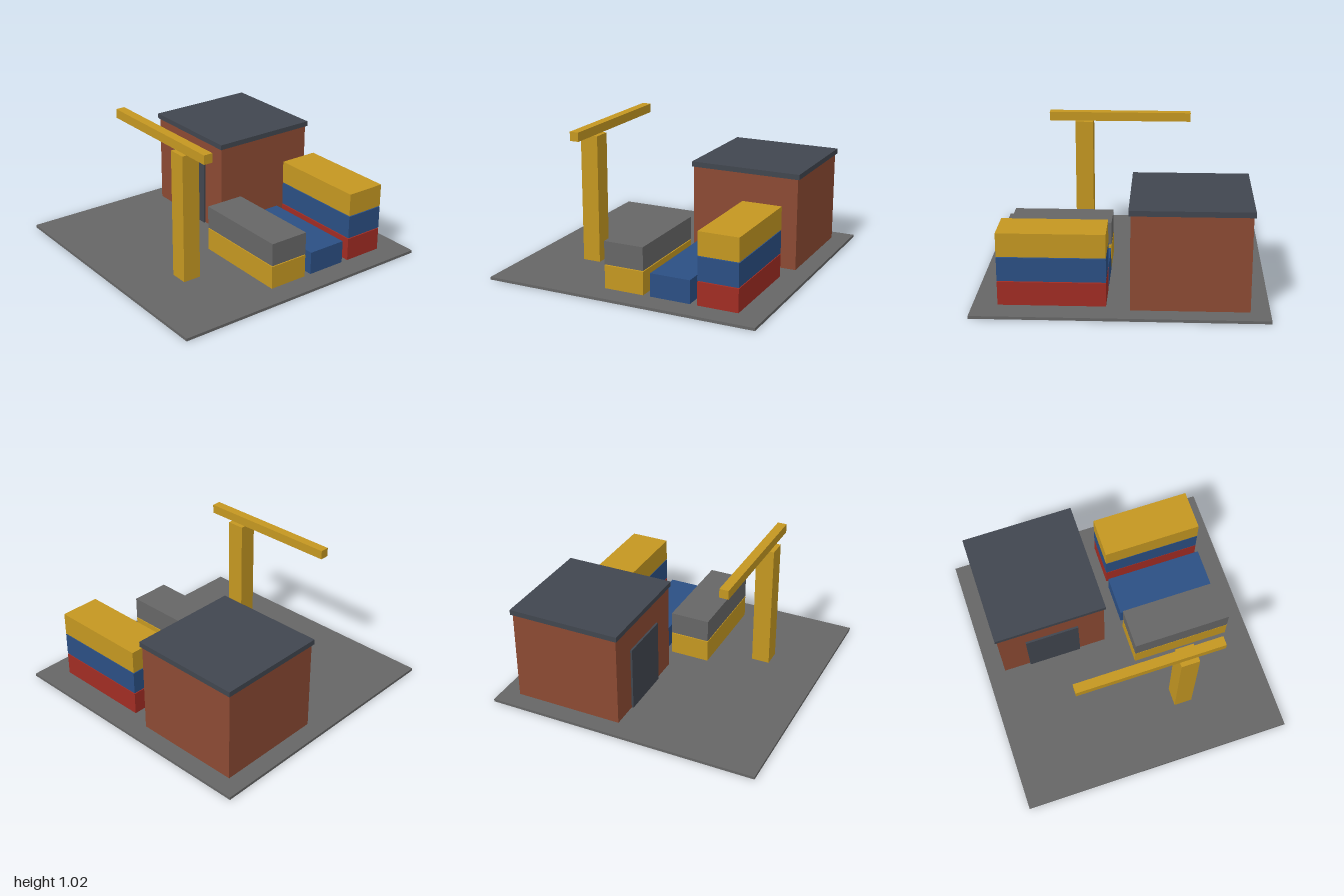
import * as THREE from 'three';

const material = (name, color) => {
  const m = new THREE.MeshStandardMaterial({ color });
  m.name = name;
  return m;
};

export function createModel() {
  const grey = material('grey', 0x666666);
  const brick = material('brick', 0x8c4a33);
  const slate = material('slate', 0x41464f);
  const yellow = material('yellow', 0xc49721);
  const blue = material('blue', 0x2b4f83);
  const red = material('red', 0xa12c23);

  const model = new THREE.Group();
  model.name = 'containerYard';

  const group = (name) => {
    const g = new THREE.Group();
    g.name = name;
    model.add(g);
    return g;
  };

  // Box given by its extents along each axis
  const box = (parent, name, mat, [x0, x1], [y0, y1], [z0, z1]) => {
    const mesh = new THREE.Mesh(new THREE.BoxGeometry(x1 - x0, y1 - y0, z1 - z0), mat);
    mesh.position.set((x0 + x1) / 2, (y0 + y1) / 2, (z0 + z1) / 2);
    mesh.name = name;
    parent.add(mesh);
  };

  const floor = 0.02;
  box(model, 'ground', grey, [-1, 1], [0, floor], [-1, 1]);

  // Warehouse with overhanging roof and a thin door plate
  const warehouse = group('warehouse');
  box(warehouse, 'walls', brick, [-0.867, -0.067], [floor, 0.69], [-0.867, -0.067]);
  box(warehouse, 'roof', slate, [-0.88, -0.055], [0.69, 0.728], [-0.88, -0.055]);
  box(warehouse, 'door', slate, [-0.667, -0.27], [floor, 0.5], [-0.062, -0.053]);
  // Backing that joins the door to the wall
  box(warehouse, 'doorFrame', slate, [-0.667, -0.27], [floor, 0.5], [-0.067, -0.062]);

  // Container stacks, listed front to back, each from the bottom up
  const containers = group('containers');
  const stacks = [[yellow, grey], [blue], [red, blue, yellow]];
  stacks.forEach((stack, row) => {
    const z = 0.027 - row * 0.347;
    stack.forEach((mat, level) => {
      const y = floor + level * 0.1735;
      box(containers, 'container', mat, [0.097, 0.83], [y, y + 0.167], [z - 0.147, z + 0.147]);
    });
  });

  // Crane
  const crane = group('crane');
  box(crane, 'mast', yellow, [0.267, 0.4], [floor, 0.957], [0.467, 0.6]);
  box(crane, 'boom', yellow, [-0.47, 0.597], [0.957, 1.023], [0.5, 0.567]);

  return model;
}
